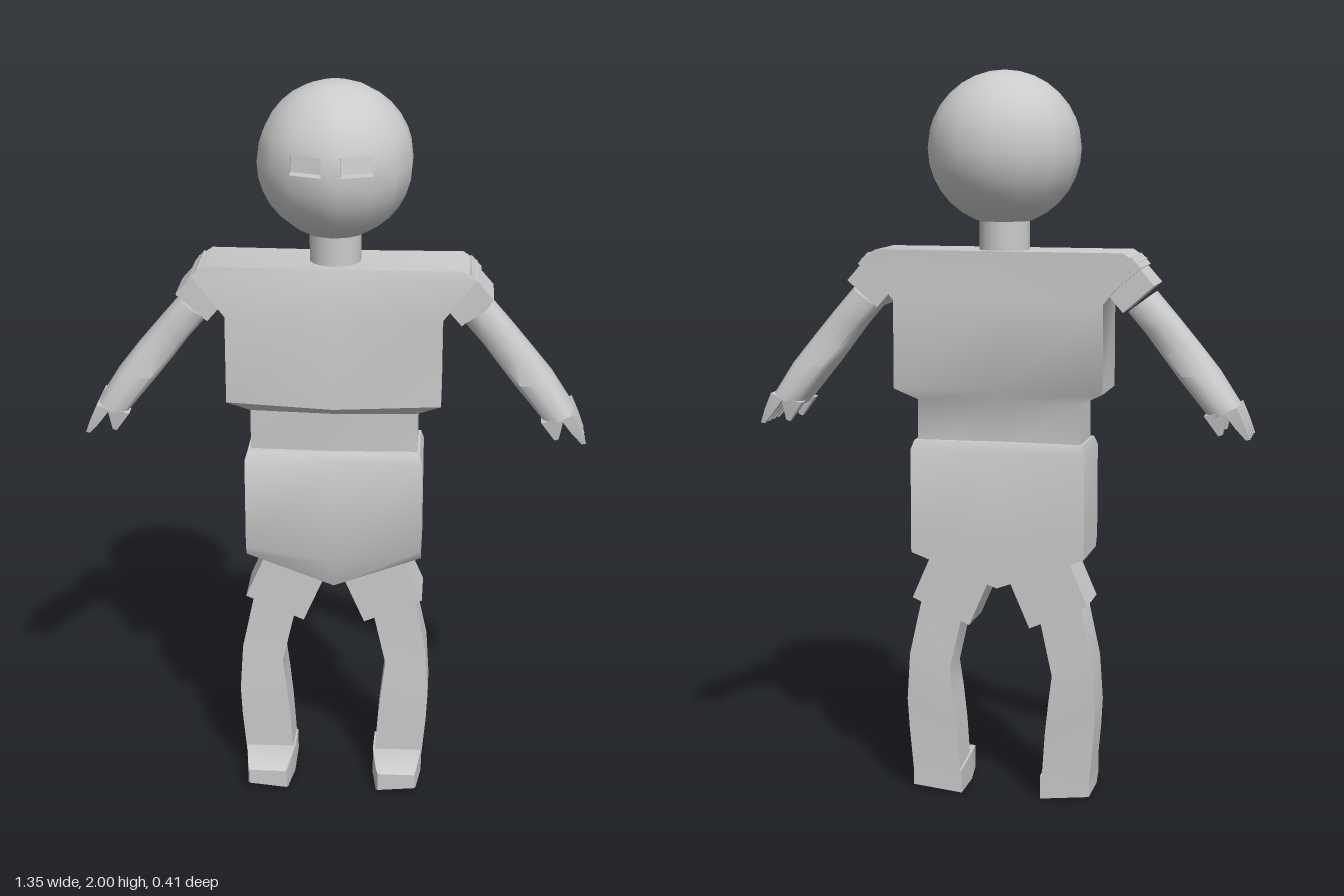
import * as THREE from 'three';
import { toCreasedNormals } from 'three/addons/utils/BufferGeometryUtils.js';

const grey = new THREE.MeshStandardMaterial({ color: 0xcccccc });

function mesh(name, geometry, parent) {
  const m = new THREE.Mesh(geometry, grey);
  m.name = name;
  parent.add(m);
  return m;
}

// Geometry from a list of triangles, each made of three [x, y, z] corners
function fromTriangles(tris, crease) {
  const g = new THREE.BufferGeometry();
  g.setAttribute('position', new THREE.Float32BufferAttribute(tris.flat(2), 3));
  return toCreasedNormals(g, crease);
}

// Capped skin over matching rings of points, always facing outward
function loft(rings, crease = 0.6) {
  let tris = [];
  const n = rings[0].length;
  for (let r = 0; r < rings.length - 1; r++) {
    for (let i = 0; i < n; i++) {
      const j = (i + 1) % n, a = rings[r], b = rings[r + 1];
      tris.push([a[i], a[j], b[j]], [a[i], b[j], b[i]]);
    }
  }
  const first = rings[0], last = rings[rings.length - 1];
  for (let i = 1; i < n - 1; i++) {
    tris.push([first[0], first[i + 1], first[i]], [last[0], last[i], last[i + 1]]);
  }
  const V = (p) => new THREE.Vector3(...p), c = V(first[0]);
  const volume = tris.reduce((s, [a, b, d]) =>
    s + V(a).sub(c).dot(V(b).sub(c).cross(V(d).sub(c))), 0);
  if (volume < 0) tris = tris.map(([a, b, d]) => [a, d, b]);
  return fromTriangles(tris, crease);
}

// Sphere whose grid follows the eye edges, with two sunken eye slots
function headGeometry(radius) {
  const half = [0, 0.122, 0.54, 0.9, 1.346, 1.795, 2.244, 2.693, Math.PI];
  const phis = [...half.slice(1).reverse().map((p) => -p), ...half];
  const thetas = Array.from({ length: 17 }, (_, i) => (i === 7 ? 1.324 : (i * Math.PI) / 16));
  const at = (t, p) => [
    radius * Math.sin(t) * Math.sin(p), radius * Math.cos(t), radius * Math.sin(t) * Math.cos(p)];
  const tris = [];
  const quad = (a, b, c, d) => tris.push([a, b, c], [a, c, d]);
  for (let r = 0; r < 16; r++) {
    for (let k = 0; k < phis.length - 1; k++) {
      const [t0, t1, p0, p1] = [thetas[r], thetas[r + 1], phis[k], phis[k + 1]];
      const q = [at(t0, p0), at(t1, p0), at(t1, p1), at(t0, p1)];
      const mid = Math.abs(p0 + p1) / 2;
      if (r === 7 && mid > 0.2 && mid < 0.5) {
        const deep = q.map(([x, y, z]) => [x, y, z - 0.035]);
        quad(...deep);
        for (let i = 0; i < 4; i++) {
          const j = (i + 1) % 4;
          quad(q[i], q[j], deep[j], deep[i]);
        }
      } else if (r === 0) tris.push([q[0], q[1], q[2]]);
      else if (r === 15) tris.push([q[0], q[1], q[3]]);
      else quad(...q);
    }
  }
  return fromTriangles(tris, 0.65);
}

// Rounded-square ring across an arm, between an outer and an inner edge point
function armRing([ox, oy, ix, iy, zb, zf]) {
  const round = (v) => Math.sign(v) * Math.pow(Math.abs(v), 0.6);
  return Array.from({ length: 12 }, (_, i) => {
    const a = (i / 12) * Math.PI * 2, u = round(Math.cos(a)), w = round(Math.sin(a));
    return [(ox + ix) / 2 + (u * (ox - ix)) / 2, (oy + iy) / 2 + (u * (oy - iy)) / 2,
      (zb + zf) / 2 + (w * (zf - zb)) / 2];
  });
}

// Four-cornered ring between an outer and an inner edge point
const boxRing = ([ox, oy, ix, iy, zb, zf]) =>
  [[ox, oy, zf], [ox, oy, zb], [ix, iy, zb], [ix, iy, zf]];

export function createModel() {
  const model = new THREE.Group();
  model.name = 'figure';

  // Head and neck
  mesh('head', headGeometry(0.206), model).position.y = 1.795;
  mesh('neck', new THREE.CylinderGeometry(0.068, 0.068, 0.12, 20), model).position.y = 1.56;

  // Chest and waist: y, half width, back, front side, front centre
  const torso = [
    [0.99, 0.225, -0.075, 0.07, 0.078],
    [1.12, 0.225, -0.075, 0.07, 0.085],
    [1.15, 0.287, -0.095, 0.095, 0.133],
    [1.39, 0.287, -0.095, 0.095, 0.135],
    [1.5, 0.375, -0.095, 0.092, 0.102],
    [1.525, 0.337, -0.095, 0.09, 0.093],
  ].map(([y, x, zb, zf, zc]) => [
    [x, y, zf], [x, y, zb], [0, y, zb + 0.008], [-x, y, zb], [-x, y, zf], [0, y, zc]]);
  mesh('torso', loft(torso, 0.7), model);

  // Pelvis with a V-shaped underside: centre height, side height, half width, back, front
  const pelvis = [
    [0.61, 0.7, 0.24, -0.1, 0.085],
    [0.69, 0.73, 0.24, -0.1, 0.105],
    [0.985, 0.985, 0.24, -0.1, 0.105],
    [1.01, 1.01, 0.232, -0.09, 0.09],
  ].map(([yc, ys, x, zb, zf]) => [
    [x, ys, zf], [x, ys, zb], [0, yc, zb], [-x, ys, zb], [-x, ys, zf], [0, yc, zf]]);
  mesh('pelvis', loft(pelvis, 0.8), model);

  for (const [side, s] of [['left', 1], ['right', -1]]) {
    const flip = (ring) => ring.map(([x, y, z]) => [x * s, y, z]);
    const part = (name, rows, ring, crease) =>
      mesh(side + name, loft(rows.map((r) => flip(ring(r))), crease), model);
    const box = (name, size, x, y, z, tilt) => {
      const m = mesh(side + name, new THREE.BoxGeometry(...size), model);
      m.position.set(x * s, y, z);
      m.rotation.z = tilt * s;
    };

    // Sleeve: wide band at the shoulder, narrower cuff below it
    box('ShoulderBand', [0.125, 0.04, 0.175], 0.325, 1.46, -0.005, 0.72);
    box('SleeveCuff', [0.11, 0.07, 0.145], 0.355, 1.43, -0.007, 0.72);

    // Arm widening into the palm
    part('Arm', [
      [0.415, 1.42, 0.342, 1.365, -0.065, 0.052],
      [0.475, 1.35, 0.39, 1.31, -0.068, 0.055],
      [0.53, 1.285, 0.434, 1.25, -0.063, 0.05],
      [0.588, 1.21, 0.475, 1.2, -0.083, 0.068],
      [0.645, 1.12, 0.565, 1.09, -0.085, 0.07],
    ], armRing, 0.9);

    // Four fingers on the outer edge, short prongs on the inner edge
    for (const z of [-0.066, -0.027, 0.012, 0.051]) {
      part('Finger', [
        [0.642, 1.125, 0.608, 1.11, z - 0.019, z + 0.019],
        [0.662, 1.08, 0.638, 1.07, z - 0.015, z + 0.015],
        [0.677, 1.04, 0.666, 1.038, z - 0.007, z + 0.007],
      ], boxRing);
    }
    for (const z of [-0.062, 0.047]) {
      part('Thumb', [
        [0.615, 1.115, 0.555, 1.1, z - 0.02, z + 0.02],
        [0.604, 1.05, 0.593, 1.046, z - 0.008, z + 0.008],
      ], boxRing);
    }

    // Short trouser leg
    box('TrouserLeg', [0.175, 0.2, 0.145], 0.125, 0.622, 0.002, 0.41);

    // Bowed leg
    part('Leg', [
      [0.205, 0.6, 0.095, 0.55, -0.05, 0.062],
      [0.225, 0.555, 0.112, 0.505, -0.05, 0.062],
      [0.258, 0.4, 0.145, 0.36, -0.056, 0.064],
      [0.266, 0.27, 0.135, 0.28, -0.056, 0.07],
      [0.262, 0.19, 0.125, 0.19, -0.052, 0.07],
      [0.25, 0.06, 0.116, 0.055, -0.052, 0.07],
    ], boxRing, 0.7);

    // Foot: z, outer x, inner x, top, outer sole, inner sole
    part('Foot', [
      [-0.052, 0.25, 0.112, 0.07, 0.02, 0.005],
      [0.07, 0.25, 0.112, 0.085, 0.02, 0.005],
      [0.165, 0.238, 0.125, 0.074, 0.02, 0.008],
      [0.178, 0.234, 0.13, 0.066, 0.024, 0.014],
    ], ([z, xo, xi, top, so, si]) => [[xo, top, z], [xi, top, z], [xi, si, z], [xo, so, z]]);
  }
  return model;
}
